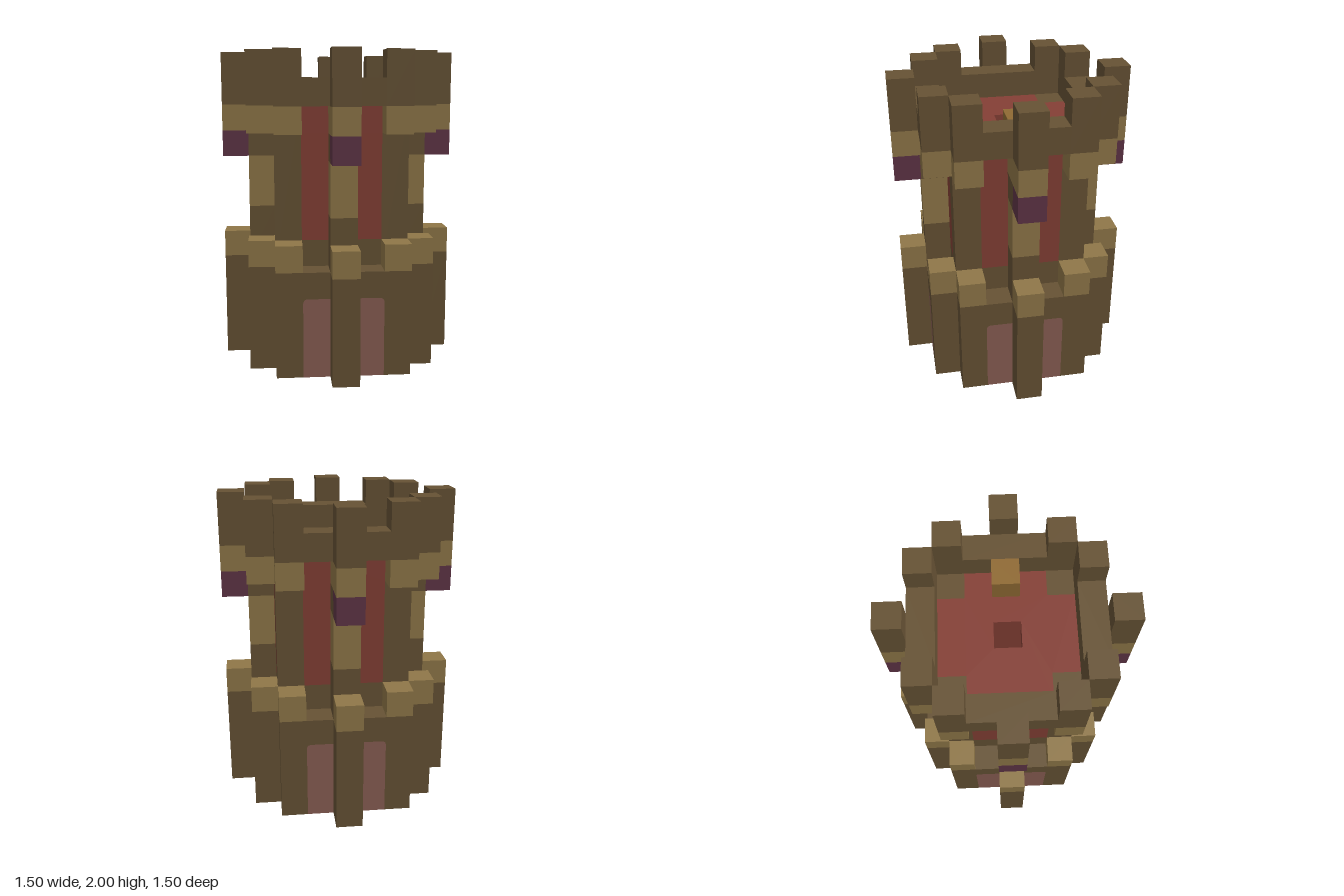
import * as THREE from 'three';

const U = 1 / 6; // one block

const paint = (name, color) => {
  const m = new THREE.MeshStandardMaterial({ color });
  m.name = name;
  return m;
};

export function createModel() {
  const brown = paint('dark brown', 0x665234);
  const tan = paint('tan', 0x8f7748);
  const red = paint('brick red', 0x843f35);
  const pink = paint('dusty pink', 0x895e53);
  const purple = paint('plum', 0x5f3446);
  const gray = paint('gray', 0x878787);
  const gold = paint('gold', 0x8f6a33);

  const tower = new THREE.Group();
  tower.name = 'tower';

  // Block centred on cell (x, z), w cells wide, from row y0 up to row y1
  function block(parent, name, mat, x, z, y0, y1, w = 1) {
    const mesh = new THREE.Mesh(new THREE.BoxGeometry(w * U, (y1 - y0) * U, U), mat);
    mesh.position.set(x * U, ((y0 + y1) / 2) * U, z * U);
    mesh.name = name;
    parent.add(mesh);
  }

  // Upright slab one block thick, cut from a shape
  function slab(parent, name, mat, shape, z) {
    const geo = new THREE.ExtrudeGeometry(shape, { depth: U, bevelEnabled: false, curveSegments: 5 });
    const mesh = new THREE.Mesh(geo, mat);
    mesh.position.z = (z - 0.5) * U;
    mesh.name = name;
    parent.add(mesh);
  }

  // Wide panel with rounded top corners, and the lintel that fits over it
  const h = 1.5 * U, top = 3 * U, r = 0.03;
  const arch = new THREE.Shape();
  arch.moveTo(-h, 0);
  arch.lineTo(h, 0);
  arch.lineTo(h, top - r);
  arch.quadraticCurveTo(h, top, h - r, top);
  arch.lineTo(-h + r, top);
  arch.quadraticCurveTo(-h, top, -h, top - r);
  const lintel = new THREE.Shape();
  lintel.moveTo(-h, top - r);
  lintel.quadraticCurveTo(-h, top, -h + r, top);
  lintel.lineTo(h - r, top);
  lintel.quadraticCurveTo(h, top, h, top - r);
  lintel.lineTo(h, 4 * U);
  lintel.lineTo(-h, 4 * U);

  for (let k = 0; k < 4; k++) {
    const side = new THREE.Group();
    side.name = 'towerSide';
    side.rotation.y = (k * Math.PI) / 2;
    tower.add(side);

    // Base wall
    slab(side, 'basePanel', pink, arch, 3);
    slab(side, 'baseLintel', brown, lintel, 3);

    // Buttresses below and battlement posts above
    for (const [x, z] of [[-2, 3], [0, 4], [2, 3]]) {
      block(side, 'buttress', brown, x, z, 0, 4);
      block(side, 'buttressCap', tan, x, z, 4, 5);
      block(side, 'postCorbel', tan, x, z, 9, 10);
      block(side, 'battlementPost', brown, x, z, 10, 12);
    }
    block(side, 'plumBracket', purple, 0, 4, 8, 9);

    // Shaft wall, corner column and central pilaster
    block(side, 'shaftFooting', brown, 0, 2, 4, 5, 3);
    block(side, 'shaftWall', red, 0, 2, 5, 9, 3);
    block(side, 'cornerColumn', brown, 2, 2, 4, 10);
    block(side, 'pilasterFoot', brown, 0, 3, 4, 6);
    block(side, 'pilaster', tan, 0, 3, 6, 8);
    block(side, 'pilasterHead', brown, 0, 3, 8, 9);
    block(side, 'pilasterCap', tan, 0, 3, 9, 10);

    // Parapet between the posts
    block(side, 'parapet', brown, 0, 3, 10, 11, 3);
  }

  // Roof floor: a cross shape with a square shaft in the middle
  const a = 1.5 * U, b = 2.5 * U, c = 0.5 * U;
  const cross = new THREE.Shape(
    [[-a, -b], [a, -b], [a, -a], [b, -a], [b, a], [a, a], [a, b], [-a, b], [-a, a], [-b, a], [-b, -a], [-a, -a]]
      .map(([x, y]) => new THREE.Vector2(x, y)));
  cross.holes.push(new THREE.Path(
    [[-c, -c], [-c, c], [c, c], [c, -c]].map(([x, y]) => new THREE.Vector2(x, y))));
  const floor = new THREE.Mesh(new THREE.ExtrudeGeometry(cross, { depth: U, bevelEnabled: false }), red);
  floor.rotation.x = -Math.PI / 2;
  floor.position.y = 9 * U;
  floor.name = 'roofFloor';
  tower.add(floor);

  // Chest on the roof and stone at the foot of the shaft
  block(tower, 'chest', gold, 2, 0, 10, 11);
  block(tower, 'stoneBlock', gray, 0, 0, 0, 1);

  return tower;
}
